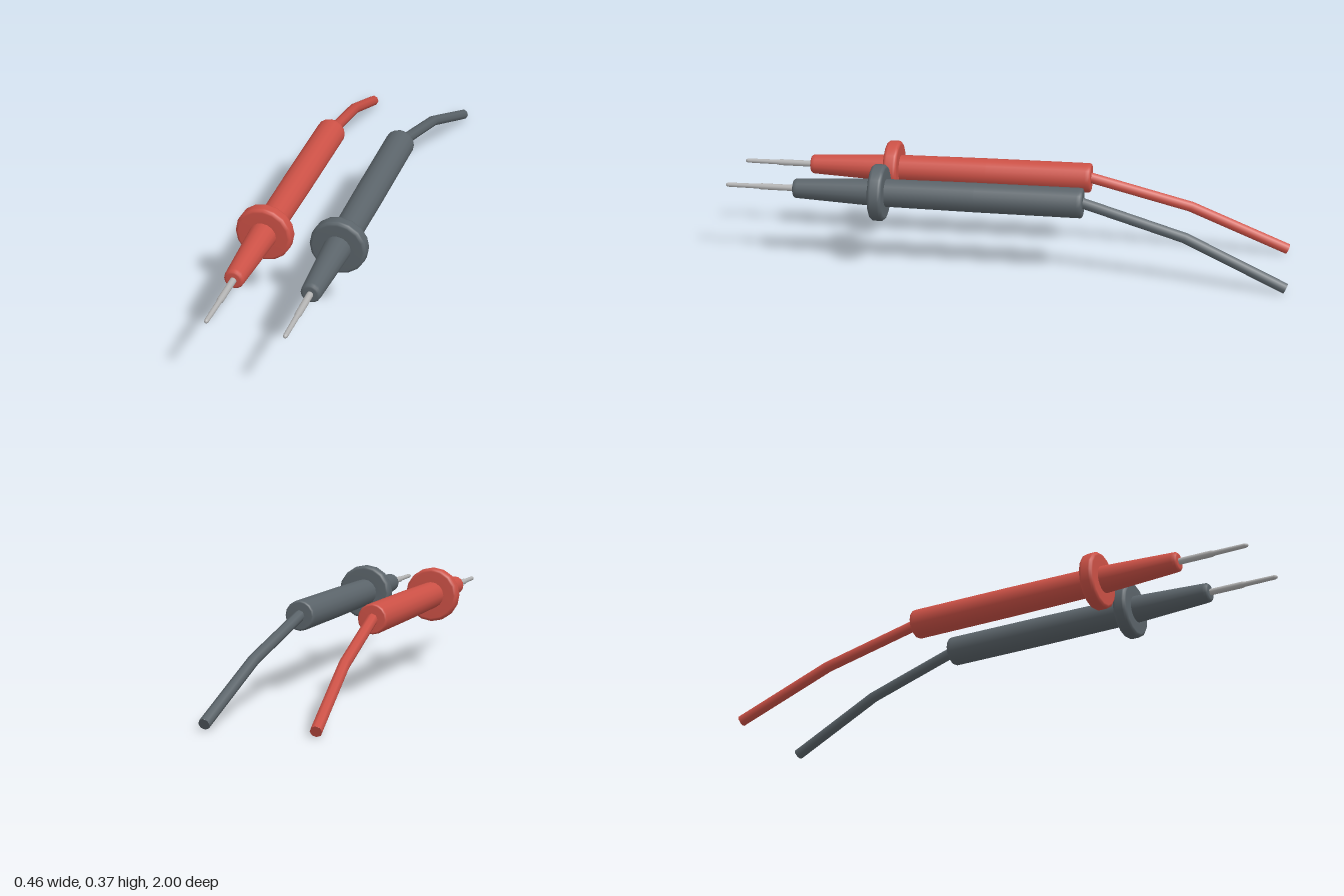
import * as THREE from 'three';

const mat = (name, color) => new THREE.MeshStandardMaterial({ name, color });

// Turned part: [z, radius] points from back to front, spun about the z axis
function turned(name, points, sides, material) {
  const geo = new THREE.LatheGeometry(points.map(([z, r]) => new THREE.Vector2(r, z)), sides);
  geo.rotateX(Math.PI / 2);
  const mesh = new THREE.Mesh(geo, material);
  mesh.name = name;
  return mesh;
}

function makeProbe(name, side, plastic, metal) {
  const probe = new THREE.Group();
  probe.name = name;

  // Handle behind the guard and tapered nose in front of it
  const handle = turned('handle', [
    [-0.28, 0], [-0.28, 0.046], [-0.278, 0.05], [-0.272, 0.053], [-0.26, 0.053],
    [0.1, 0.052], [0.42, 0.049], [0.47, 0.048], [0.735, 0.035],
    [0.745, 0.034], [0.75, 0.03], [0.752, 0.024], [0.752, 0],
  ], 16, plastic);

  // Round finger guard with softened rims
  const guard = turned('fingerGuard', [
    [0.418, 0.04], [0.418, 0.088], [0.42, 0.094], [0.426, 0.099], [0.432, 0.1],
    [0.456, 0.1], [0.462, 0.099], [0.467, 0.094], [0.469, 0.088], [0.469, 0.04],
  ], 16, plastic);

  // Stepped metal needle
  const needle = turned('needle', [
    [0.74, 0.0115], [0.87, 0.0115], [0.88, 0.009],
    [0.99, 0.008], [0.997, 0.006], [1, 0.003], [1, 0],
  ], 10, metal);

  const core = new THREE.Group();
  core.name = 'probeBody';
  core.position.set(side * 0.132, 0.276, 0);
  core.add(handle, guard, needle);

  // Cable in two straight lengths, drooping and splaying outward
  const a = new THREE.Vector3(side * 0.132, 0.279, -0.268);
  const b = new THREE.Vector3(side * 0.157, 0.178, -0.635);
  const c = new THREE.Vector3(side * 0.187, 0.022, -0.99);
  const path = new THREE.CurvePath();
  path.add(new THREE.LineCurve3(a, b));
  path.add(new THREE.LineCurve3(b, c));
  const cable = new THREE.Mesh(new THREE.TubeGeometry(path, 2, 0.02, 8), plastic);
  cable.name = 'cable';

  const cableEnd = new THREE.Mesh(new THREE.CircleGeometry(0.02, 8), plastic);
  cableEnd.name = 'cableEnd';
  cableEnd.position.copy(c);
  cableEnd.lookAt(c.clone().multiplyScalar(2).sub(b));

  probe.add(core, cable, cableEnd);
  return probe;
}

export function createModel() {
  const model = new THREE.Group();
  model.name = 'testProbes';
  const red = mat('red plastic', 0xcc5146);
  const grey = mat('grey plastic', 0x5b646a);
  const metal = mat('metal', 0xb4b4b4);
  model.add(makeProbe('redProbe', -1, red, metal), makeProbe('greyProbe', 1, grey, metal));
  return model;
}
